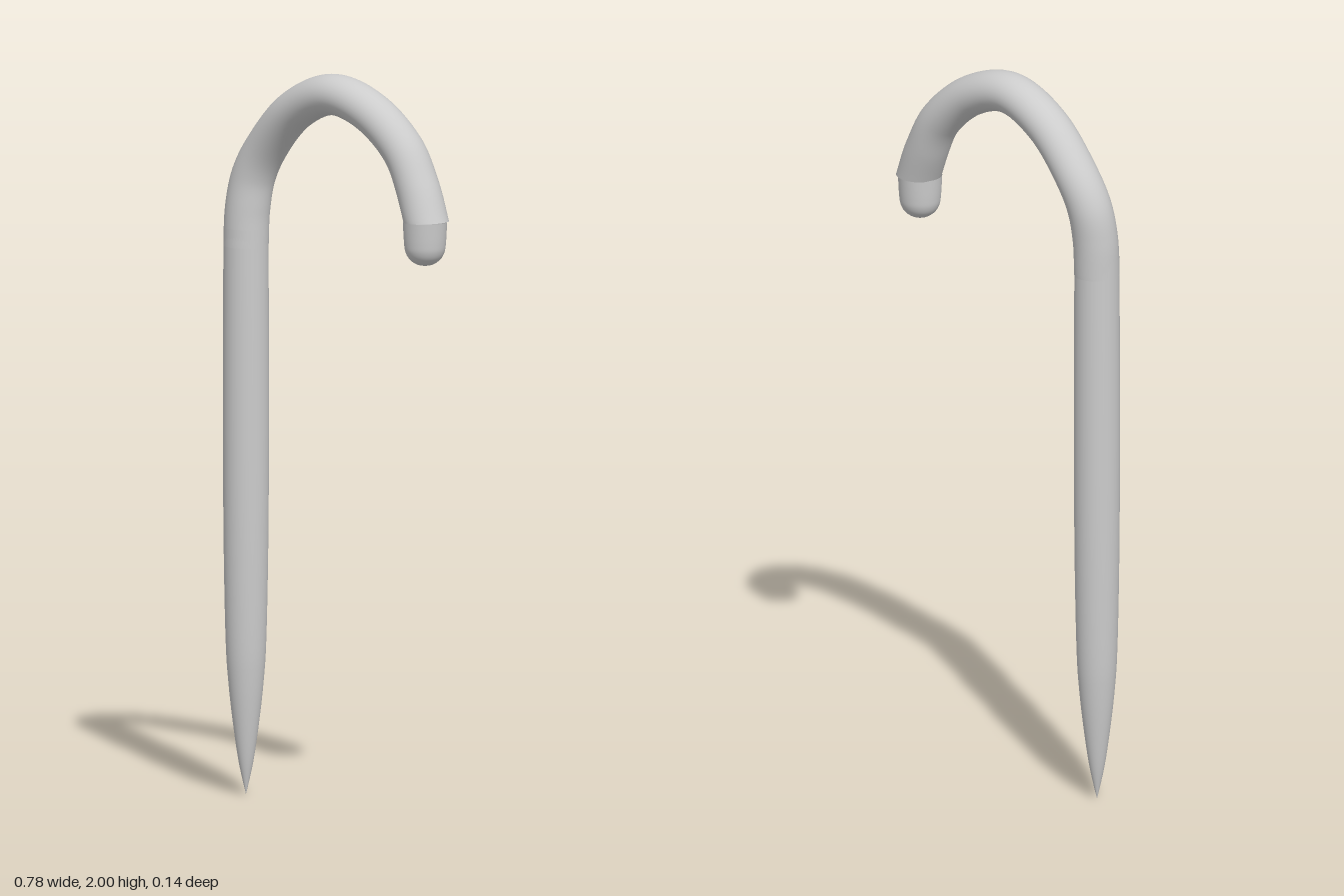
import * as THREE from 'three';

const material = new THREE.MeshStandardMaterial({ color: 0xcccccc, side: THREE.DoubleSide });
const V = (x, y, z) => new THREE.Vector3(x, y, z);

// smooth turned part from [radius, height] points
function turned(name, points, x, z) {
  const curve = new THREE.SplineCurve(points.map(([r, y]) => new THREE.Vector2(r, y)));
  const profile = curve.getPoints(60).map(p => new THREE.Vector2(Math.max(p.x, 0), p.y));
  const mesh = new THREE.Mesh(new THREE.LatheGeometry(profile, 48), material);
  mesh.name = name;
  mesh.position.set(x, 0, z);
  return mesh;
}

// sweep of an oval section along a path lying close to the xy plane
function sweep(name, path, radiusAt, steps = 96, sides = 40) {
  const pos = [], index = [];
  for (let i = 0; i <= steps; i++) {
    const t = i / steps;
    const c = path.getPointAt(t), d = path.getTangentAt(t);
    // the last rings turn level to meet the end cap
    d.lerp(V(0, -1, 0), THREE.MathUtils.smoothstep(t, 0.88, 1) * 0.9);
    const n = V(-d.y, d.x, 0).normalize();
    const [flat, deep] = radiusAt(t);
    for (let j = 0; j < sides; j++) {
      const a = j / sides * Math.PI * 2;
      const u = Math.cos(a) * flat;
      pos.push(c.x + n.x * u, c.y + n.y * u, c.z + Math.sin(a) * deep);
      if (i === steps) continue;
      const k = (j + 1) % sides, p = i * sides + j, q = i * sides + k;
      index.push(p, q, p + sides, q, q + sides, p + sides);
    }
  }
  const g = new THREE.BufferGeometry();
  g.setAttribute('position', new THREE.Float32BufferAttribute(pos, 3));
  g.setIndex(index);
  g.computeVertexNormals();
  const mesh = new THREE.Mesh(g, material);
  mesh.name = name;
  return mesh;
}

export function createModel() {
  const group = new THREE.Group();
  group.name = 'hookedCane';

  // straight shaft narrowing to a point
  group.add(turned('shaft', [
    [0, 0], [0.02, 0.09], [0.036, 0.2], [0.048, 0.31], [0.055, 0.42],
    [0.06, 0.65], [0.062, 0.9], [0.062, 1.25], [0.061, 1.55],
  ], -0.33, 0.008));

  // curved handle, swaying slightly in depth
  const path = new THREE.CatmullRomCurve3([
    V(-0.33, 1.5, 0.008), V(-0.328, 1.6, 0.004), V(-0.314, 1.69, -0.004), V(-0.27, 1.772, -0.008),
    V(-0.155, 1.887, -0.001), V(-0.01, 1.944, 0.005), V(0.125, 1.907, 0.001),
    V(0.235, 1.814, -0.007), V(0.288, 1.72, -0.005), V(0.328, 1.63, 0.003),
  ]);
  group.add(sweep('handle', path, t => {
    const s = THREE.MathUtils.smoothstep;
    return [0.061 - 0.005 * s(t, 0.1, 0.3) + 0.005 * s(t, 0.85, 1), 0.062];
  }));

  // rounded cap closing the handle
  group.add(turned('handleCap', [
    [0, 1.51], [0.022, 1.514], [0.042, 1.528], [0.053, 1.548], [0.057, 1.575], [0.06, 1.63],
  ], 0.325, 0.005));

  return group;
}
